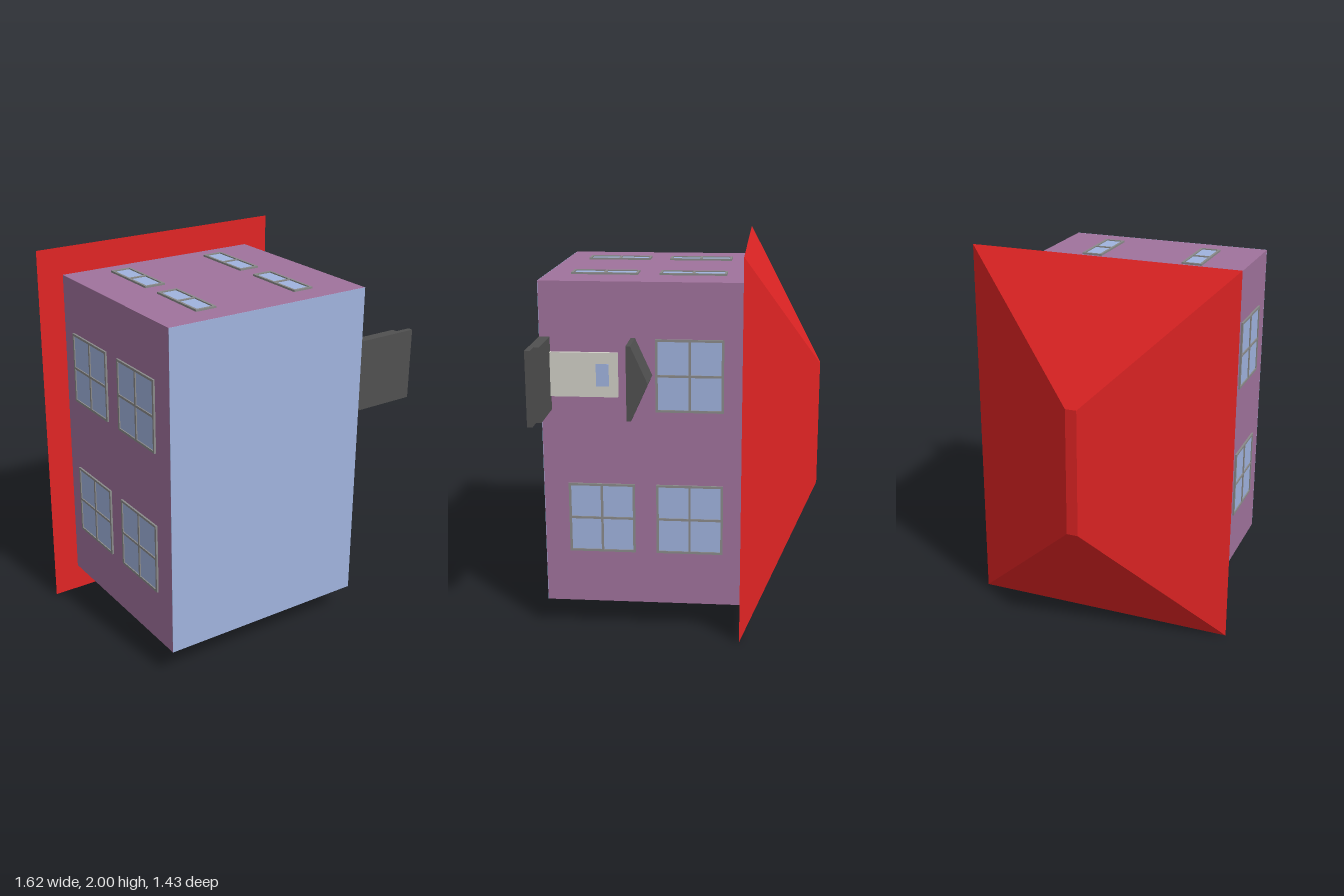
import * as THREE from 'three';
import { ConvexGeometry } from 'three/addons/geometries/ConvexGeometry.js';

const mat = (color) => new THREE.MeshStandardMaterial({ color });
const wallMat = mat(0xa0729c), roofMat = mat(0xe02424), glassMat = mat(0xa0b3de);
const frameMat = mat(0x8a8a8a), stoneMat = mat(0x505050), doorMat = mat(0xd0cfc6);

function add(parent, name, geometry, material, x = 0, y = 0, z = 0) {
  const mesh = new THREE.Mesh(geometry, material);
  mesh.name = name;
  mesh.position.set(x, y, z);
  parent.add(mesh);
  return mesh;
}

const box = (w, h, d) => new THREE.BoxGeometry(w, h, d);

function rect(Type, x0, y0, x1, y1) {
  return new Type([[x0, y0], [x1, y0], [x1, y1], [x0, y1]].map(([x, y]) => new THREE.Vector2(x, y)));
}

// Window facing +z: a frame with one opening per pane, and glass set behind it
function makeWindow(width, height, cols, rows) {
  const group = new THREE.Group();
  group.name = 'window';
  const border = 0.012, w = width / 2, h = height / 2;
  const paneW = (width - border * (cols + 1)) / cols;
  const paneH = (height - border * (rows + 1)) / rows;
  const shape = rect(THREE.Shape, -w, -h, w, h);
  for (let i = 0; i < cols; i++) {
    for (let j = 0; j < rows; j++) {
      const x = -w + border + i * (paneW + border), y = -h + border + j * (paneH + border);
      shape.holes.push(rect(THREE.Path, x, y, x + paneW, y + paneH));
    }
  }
  add(group, 'windowFrame', new THREE.ExtrudeGeometry(shape, { depth: 0.01, bevelEnabled: false }), frameMat);
  add(group, 'windowGlass', box(width - 0.01, height - 0.01, 0.004), glassMat, 0, 0, 0.002);
  return group;
}

export function createModel() {
  const model = new THREE.Group();
  model.name = 'house';
  // The house is built upright, then laid over so that its floor faces the front
  const house = new THREE.Group();
  house.name = 'houseBody';
  house.rotation.x = -Math.PI / 2;
  house.position.set(-0.1, 1.002, 0.713);
  model.add(house);

  const halfW = 0.57, halfL = 0.855, wallTop = 1.027;

  // Walls and floor
  add(house, 'walls', box(halfW * 2, wallTop - 0.002, halfL * 2), wallMat, 0, wallTop / 2 + 0.001, 0);
  add(house, 'floor', box(halfW * 2, 0.002, halfL * 2), glassMat, 0, 0.001, 0);

  // Hipped roof with a narrow flat ridge
  const roofPoints = [];
  for (const sx of [-1, 1]) {
    for (const sz of [-1, 1]) {
      roofPoints.push(new THREE.Vector3(sx * 0.712, wallTop, sz));
      roofPoints.push(new THREE.Vector3(sx * 0.03, 1.426, sz * 0.34));
    }
  }
  add(house, 'roof', new ConvexGeometry(roofPoints), roofMat);

  // Windows on all four walls; the door takes the place of one
  for (const y of [0.302, 0.758]) {
    for (const side of [-1, 1]) {
      for (const end of [-1, 1]) {
        if (!(side === 1 && end === 1 && y < 0.5)) {
          const wide = makeWindow(0.375, 0.345, 2, 2);
          wide.position.set(side * halfW, y, end * 0.382);
          wide.rotation.y = side * Math.PI / 2;
          house.add(wide);
        }
        const narrow = makeWindow(0.112, 0.345, 1, 2);
        narrow.position.set(side * 0.285, y, end * halfL);
        narrow.rotation.y = end > 0 ? 0 : Math.PI;
        house.add(narrow);
      }
    }
  }

  // Door with a small pane
  const doorZ = 0.385;
  add(house, 'door', box(0.02, 0.345, 0.228), doorMat, halfW + 0.01, 0.225, doorZ);
  add(house, 'doorPane', box(0.004, 0.065, 0.115), glassMat, halfW + 0.021, 0.32, doorZ);

  // Two steps
  add(house, 'lowerStep', box(0.34, 0.027, 0.376), stoneMat, halfW + 0.17, 0.0135, doorZ);
  add(house, 'upperStep', box(0.255, 0.027, 0.376), stoneMat, halfW + 0.1275, 0.0405, doorZ);

  // Gabled canopy over the door
  const gable = new THREE.Shape([[-0.188, 0], [0.188, 0], [0.188, 0.022], [0, 0.107], [-0.188, 0.022]]
    .map(([x, y]) => new THREE.Vector2(x, y)));
  const canopy = add(house, 'canopy', new THREE.ExtrudeGeometry(gable, { depth: 0.197, bevelEnabled: false }),
    stoneMat, halfW, 0.463, doorZ);
  canopy.rotation.y = Math.PI / 2;

  return model;
}
